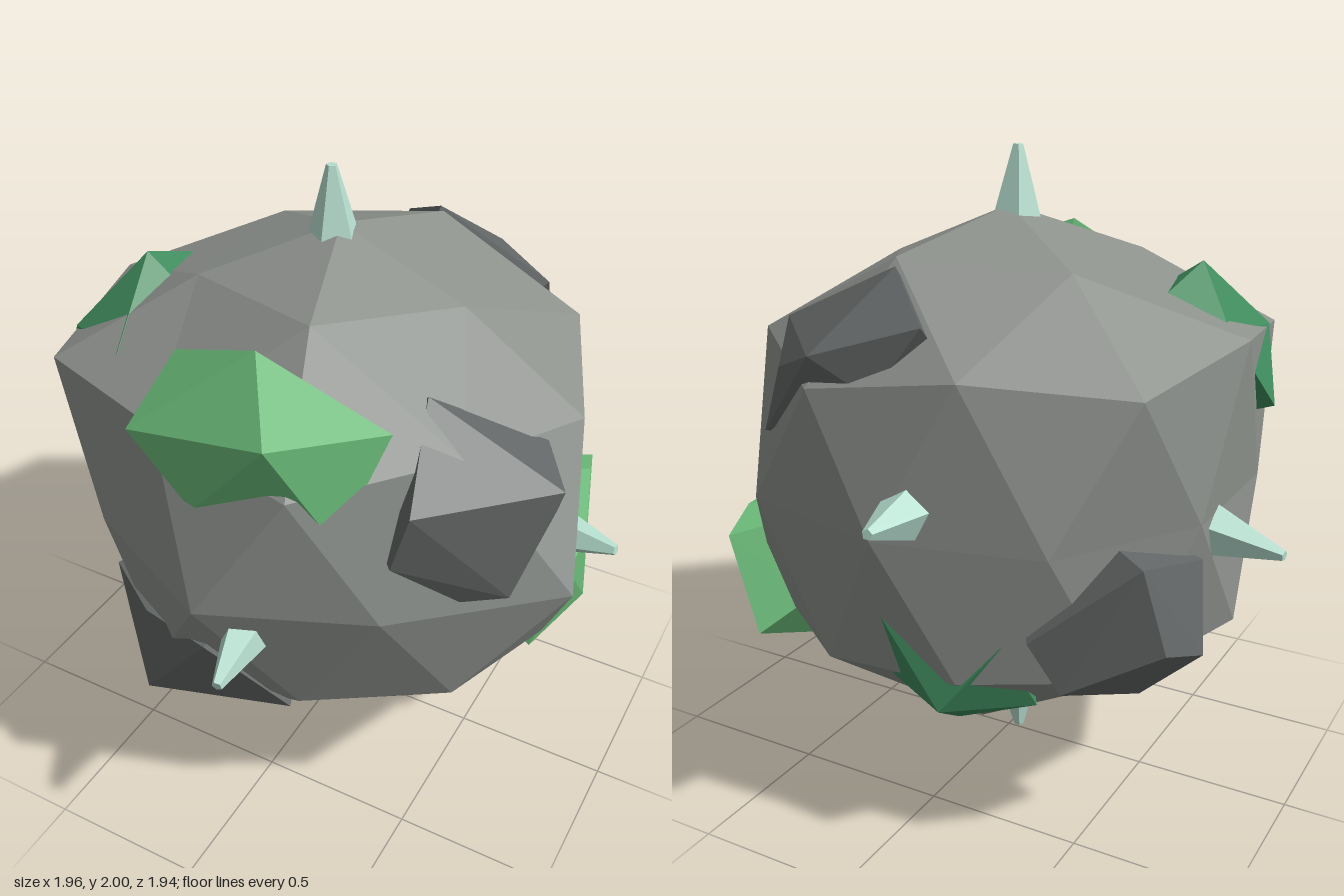
import * as THREE from 'three';
import { ConvexGeometry } from 'three/addons/geometries/ConvexGeometry.js';

const V = (x, y, z) => new THREE.Vector3(x, y, z);
const UP = V(0, 1, 0);

function material(name, color) {
  const m = new THREE.MeshStandardMaterial({ color, flatShading: true });
  m.name = name;
  return m;
}

// Once-subdivided icosahedron standing on a pole; each vertex is pushed to its own radius.
function boulderGeometry() {
  // [height, first azimuth, radii around the ring]
  const rings = [
    [1, 0, [0.82]],
    [0.8507, 0, [0.765, 0.86, 0.8, 0.8, 0.84]],
    [0.5257, 36, [0.88, 0.84, 0.93, 0.87, 0.88]],
    [0.4472, 0, [0.88, 0.89, 0.97, 0.93, 0.87]],
    [0, 18, [0.95, 0.82, 0.87, 0.8, 0.8, 0.8, 0.84, 0.8, 0.84, 0.77]],
    [-0.4472, 36, [0.86, 0.85, 0.885, 0.89, 0.87]],
    [-0.5257, 0, [0.87, 0.82, 0.85, 0.87, 0.87]],
    [-0.8507, 36, [0.84, 0.89, 0.83, 0.83, 0.84]],
    [-1, 0, [0.91]],
  ];
  const dirs = [], radii = [];
  for (const [y, start, list] of rings) {
    const r = Math.sqrt(1 - y * y);
    list.forEach((radius, i) => {
      const a = THREE.MathUtils.degToRad(start + (360 / list.length) * i);
      dirs.push(V(Math.cos(a) * r, y, Math.sin(a) * r));
      radii.push(radius);
    });
  }
  const geo = new ConvexGeometry(dirs);
  const pos = geo.attributes.position;
  const p = V(0, 0, 0);
  for (let i = 0; i < pos.count; i++) {
    p.fromBufferAttribute(pos, i);
    p.multiplyScalar(radii[dirs.findIndex((d) => d.distanceTo(p) < 0.01)]);
    pos.setXYZ(i, p.x, p.y, p.z);
  }
  geo.computeVertexNormals();
  return geo;
}

export function createModel() {
  const group = new THREE.Group();
  const stone = material('stone grey', 0x8d918c);
  const darkStone = material('dark stone', 0x646767);
  const moss = material('light moss', 0x6bbc79);
  const darkMoss = material('dark moss', 0x3f8b5d);
  const crystal = material('pale crystal', 0xb7dfd0);

  // Every part is placed relative to the boulder's centre, one unit up
  const add = (name, geo, mat) => {
    const mesh = new THREE.Mesh(geo, mat);
    mesh.name = name;
    mesh.position.y = 1;
    group.add(mesh);
    return mesh;
  };

  add('boulder', boulderGeometry(), stone);

  // Faceted lump: apex and rim corners, with walls running down into the boulder
  const lump = (name, mat, ...corners) => {
    const outer = corners.map((c) => V(...c));
    const buried = outer.map((p) => p.clone().multiplyScalar(0.8));
    add(name, new ConvexGeometry([...outer, ...buried]), mat);
  };
  lump('frontMoss', moss,
    [0.2, 0.56, 0.78], [0.05, 0.7, 0.56], [-0.27, 0.57, 0.48], [-0.29, 0.43, 0.71],
    [-0.05, 0.27, 0.76], [0.36, 0.26, 0.69], [0.45, 0.56, 0.55]);
  lump('leftSideMoss', moss,
    [0.79, -0.49, -0.27], [0.8, -0.2, -0.02], [0.79, -0.17, -0.2], [0.7, -0.13, -0.48],
    [0.66, -0.18, -0.63], [0.55, -0.49, -0.645], [0.55, -0.65, -0.27], [0.72, -0.49, 0.05]);
  lump('upperDarkMoss', darkMoss,
    [-0.57, 0.67, 0.18], [-0.82, 0.25, 0.18], [-0.53, 0.6, 0], [-0.73, 0.5, 0],
    [-0.45, 0.59, 0.19], [-0.475, 0.5, 0.49], [-0.73, 0.46, 0.36], [-0.75, 0.22, 0.39]);
  lump('backDarkMoss', darkMoss,
    [-0.2, -0.49, -0.775], [-0.15, -0.62, -0.58], [0, -0.24, -0.76],
    [0.1, -0.42, -0.68], [-0.36, -0.28, -0.7], [-0.37, -0.56, -0.5]);
  lump('frontDarkStone', darkStone,
    [-0.27, -0.51, 0.77], [-0.46, -0.19, 0.62], [-0.26, -0.2, 0.75], [-0.02, -0.2, 0.8],
    [0.17, -0.5, 0.64], [-0.17, -0.65, 0.52], [-0.53, -0.5, 0.5]);
  lump('leftSideDarkStone', darkStone,
    [0.86, 0.39, 0.35], [0.46, 0.57, 0.36], [0.74, 0.4, 0.16], [0.8, 0.2, 0.21],
    [0.77, 0.06, 0.45], [0.65, 0.04, 0.51], [0.5, 0.2, 0.65], [0.55, 0.385, 0.645]);
  lump('backDarkStone', darkStone,
    [0.21, 0.49, -0.76], [0.1, 0.7, -0.48], [0.48, 0.52, -0.49], [0.375, 0.42, -0.68],
    [-0.09, 0.58, -0.65], [0.46, 0.21, -0.655], [0.05, 0.38, -0.7]);
  lump('rightSideDarkStone', darkStone,
    [-0.82, -0.35, -0.345], [-0.72, -0.02, -0.57], [-0.77, -0.1, -0.25], [-0.78, -0.28, -0.53],
    [-0.66, -0.48, -0.42], [-0.52, -0.41, -0.65], [-0.43, -0.26, -0.68]);

  // Five-sided crystal spikes pointing away from the centre
  const length = 0.32;
  const spikeGeo = new THREE.CylinderGeometry(0.016, 0.107, length, 5);
  spikeGeo.translate(0, -length / 2, 0);
  const spike = (name, ...tip) => {
    const end = V(...tip);
    const mesh = add(name, spikeGeo, crystal);
    mesh.quaternion.setFromUnitVectors(UP, end.clone().normalize());
    mesh.position.add(end);
  };
  spike('topSpike', -0.02, 1, 0.02);
  spike('bottomSpike', -0.03, -1, 0.02);
  spike('frontSpike', 0.135, -0.135, 0.96);
  spike('backSpike', -0.12, 0.11, -0.97);
  spike('leftSpike', 0.975, 0.11, 0.175);
  spike('rightSpike', -0.98, -0.08, -0.16);
  return group;
}
